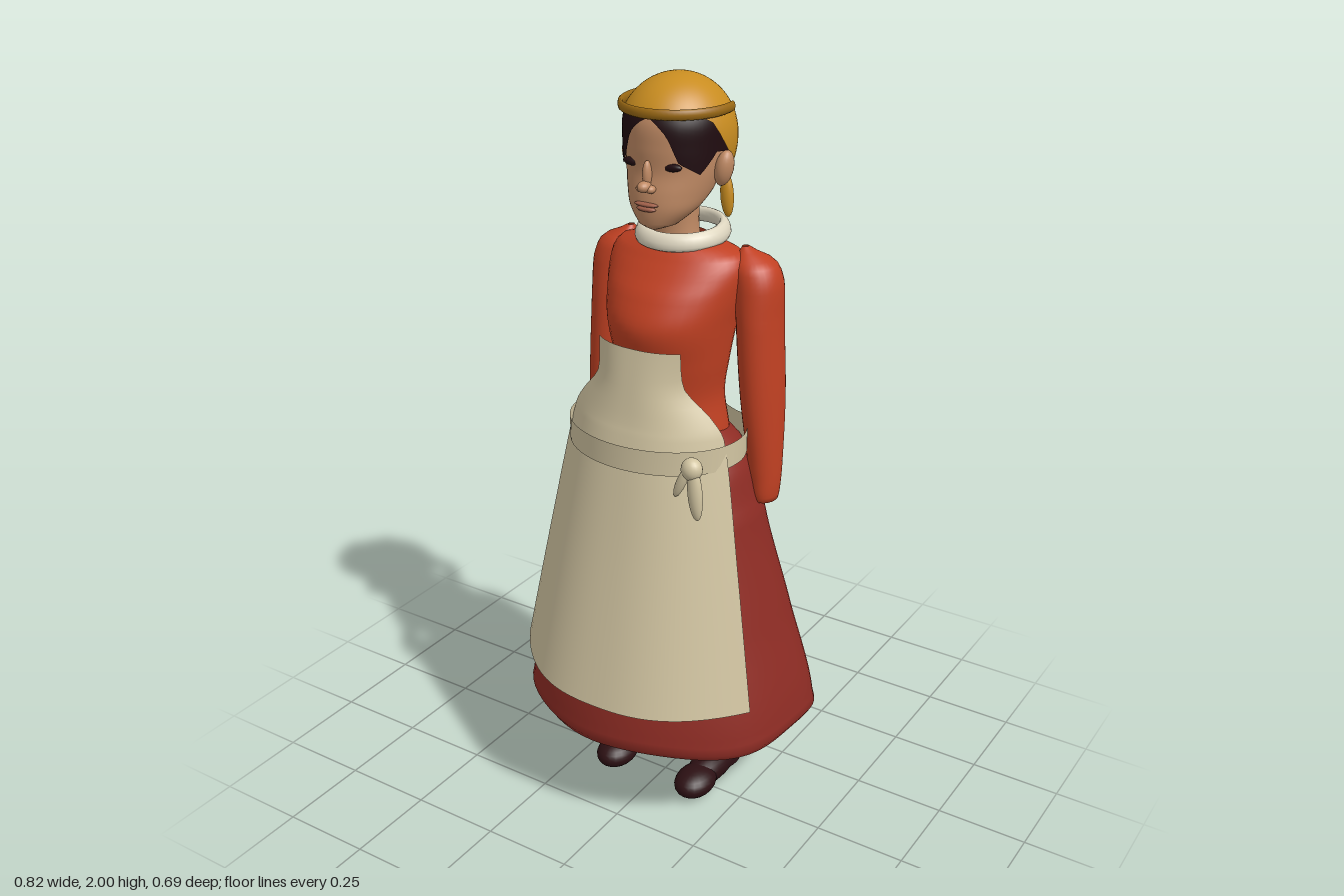
import * as THREE from 'three';
import { mergeVertices } from 'three/addons/utils/BufferGeometryUtils.js';

const paint = (name, color) => {
  const m = new THREE.MeshStandardMaterial({ color, side: THREE.DoubleSide });
  m.name = name;
  return m;
};

// Smooth interpolation of rows sorted by their first column.
function at(rows, y) {
  let i = 0;
  while (i < rows.length - 2 && y > rows[i + 1][0]) i++;
  const p = rows[Math.max(i - 1, 0)], a = rows[i], b = rows[i + 1], q = rows[Math.min(i + 2, rows.length - 1)];
  const t = THREE.MathUtils.clamp((y - a[0]) / (b[0] - a[0]), 0, 1);
  return a.map((v, k) => v + t * (b[k] - p[k] + t * (2 * p[k] - 5 * v + 4 * b[k] - q[k] + t * (3 * (v - b[k]) + q[k] - p[k]))) / 2);
}

function linear(points, x) {
  let i = 0;
  while (i < points.length - 2 && x > points[i + 1][0]) i++;
  const [a, b] = [points[i], points[i + 1]];
  return THREE.MathUtils.mapLinear(x, a[0], b[0], a[1], b[1]);
}

// Grid surface from a rule (u, v in 0..1) -> [x, y, z].
function surf(rule, nu, nv) {
  const pos = [], index = [];
  for (let j = 0; j <= nv; j++) for (let i = 0; i <= nu; i++) pos.push(...rule(i / nu, j / nv));
  for (let j = 0; j < nv; j++) for (let i = 0; i < nu; i++) {
    const a = j * (nu + 1) + i, d = a + nu + 1;
    index.push(a, a + 1, d + 1, a, d + 1, d);
  }
  let g = new THREE.BufferGeometry();
  g.setAttribute('position', new THREE.Float32BufferAttribute(pos, 3));
  g.setIndex(index);
  g = mergeVertices(g, 1e-5);
  g.computeVertexNormals();
  return g;
}

// Point on a body described by rows [y, cx, cz, halfWidth, zFront, zBack]; angle 0 is the front.
function onBody(rows, a, y, off = 0) {
  const [, cx, cz, rx, zf, zb] = at(rows, y);
  const c = Math.cos(a);
  return [cx + (Math.max(rx, 0.001) + off) * Math.sin(a), y, cz + ((c > 0 ? zf - cz : cz - zb) + off) * c];
}
const angle = u => (u * 2 - 1) * Math.PI;
const loft = (rows, nu = 32, nv = 32) => surf((u, v) =>
  onBody(rows, angle(u), THREE.MathUtils.lerp(rows[0][0], rows[rows.length - 1][0], v)), nu, nv);

export function createModel() {
  const model = new THREE.Group();
  const skin = paint('skin', 0xc08a64), hairDark = paint('dark hair', 0x200c10), ochre = paint('ochre cloth', 0xc88c20),
    ochreDark = paint('dark ochre band', 0x9c6a14), red = paint('orange red bodice', 0xc04022),
    skirtRed = paint('dark red skirt', 0x8e2c24), linen = paint('linen apron', 0xd2c5a2),
    cream = paint('cream collar', 0xded6c0), leather = paint('dark leather', 0x2c1013), lip = paint('lips', 0xa0604a);

  const add = (name, geometry, material) => {
    const m = new THREE.Mesh(geometry, material);
    m.name = name;
    model.add(m);
    return m;
  };
  const ball = (name, mat, p, s, tilt = 0) => {
    const m = add(name, new THREE.SphereGeometry(1, 20, 14), mat);
    m.position.set(...p);
    m.scale.set(...s);
    m.rotation.z = tilt;
    return m;
  };

  // Bodice and neck
  add('bodice', loft([
    [1.02, 0, -0.04, 0.165, 0.11, -0.16], [1.1, 0, -0.04, 0.155, 0.10, -0.155], [1.2, 0, -0.04, 0.142, 0.10, -0.14],
    [1.3, 0, -0.04, 0.155, 0.118, -0.148], [1.4, 0, -0.05, 0.17, 0.14, -0.162], [1.48, 0, -0.06, 0.185, 0.105, -0.165],
    [1.54, 0, -0.07, 0.19, 0.058, -0.162], [1.575, 0, -0.07, 0.165, 0.03, -0.15], [1.6, 0, -0.06, 0.08, 0.01, -0.13],
  ], 40, 44), red);
  add('neck', loft([[1.55, 0, -0.055, 0.07, 0.01, -0.12], [1.62, 0, -0.05, 0.057, 0, -0.105], [1.74, 0, -0.05, 0.058, 0.01, -0.11]], 24, 8), skin);

  // Collar ring
  add('collar', surf((u, v) => {
    const a = angle(u), b = -v * Math.PI * 2, c = Math.cos(a);
    const r = 0.014 * Math.cos(b) - 0.006 * Math.sin(b);
    return [(0.106 + r) * Math.sin(a), 1.608 - 0.008 * c + 0.022 * Math.sin(b), -0.08 + (0.106 + r) * c];
  }, 40, 12), cream);

  // Skirt with gentle folds
  const skirt = [
    [0.275, 0, -0.05, 0.4, 0.312, -0.338], [0.3, 0, -0.05, 0.41, 0.324, -0.348], [0.6, 0, -0.04, 0.338, 0.27, -0.285],
    [0.9, 0, -0.02, 0.265, 0.215, -0.222], [1.02, 0, -0.02, 0.23, 0.185, -0.19], [1.08, 0, -0.02, 0.195, 0.155, -0.168],
    [1.11, 0, -0.02, 0.15, 0.11, -0.14],
  ];
  add('skirt', surf((u, v) => {
    const a = angle(u), p = onBody(skirt, a, 0.275 + v * 0.835);
    const fold = 1 + 0.018 * (1 - v) * (Math.sin(7 * a + 1) - Math.cos(4 * a)) * Math.abs(Math.sin(a / 2));
    return [p[0] * fold, p[1] + 0.006 * (1 - v) * Math.sin(5 * a), p[2] * fold];
  }, 72, 40), skirtRed);

  // Apron with bib: rows [y, halfWidth, zMiddle, zEdge]
  const apron = [
    [0.42, 0.36, 0.35, 0.152], [0.8, 0.292, 0.268, 0.115], [1.1, 0.236, 0.208, 0.085], [1.17, 0.21, 0.19, 0.085],
    [1.22, 0.168, 0.18, 0.098], [1.27, 0.128, 0.171, 0.116], [1.36, 0.12, 0.155, 0.12],
  ];
  add('apron', surf((u, v) => {
    const s = u * 2 - 1, [y, w, zm, ze] = at(apron, 0.42 + v * 0.94);
    return [s * w, y, zm + (ze - zm) * Math.abs(s) ** 2.5];
  }, 28, 40), linen);

  // Apron belt with a tied knot
  const beltRow = [[0, 0, 0.04, 0.241, 0.23, -0.17], [2, 0, 0.04, 0.241, 0.23, -0.17]];
  add('belt', surf((u, v) => {
    const a = angle(u), p = onBody(beltRow, a, 1.065 + v * 0.065);
    p[1] += 0.012 * Math.cos(6 * a) * Math.max(0, -Math.cos(a));
    return p;
  }, 56, 2), linen);
  ball('beltKnot', linen, [0.195, 1.095, 0.185], [0.028, 0.03, 0.026]);
  ball('beltTailLong', linen, [0.208, 1.035, 0.19], [0.02, 0.075, 0.016], 0.1);
  ball('beltTailShort', linen, [0.172, 1.06, 0.195], [0.013, 0.05, 0.012], -0.4);

  for (const side of [-1, 1]) {
    const tag = side > 0 ? 'left' : 'right';
    const mirror = rows => rows.map(([y, x, ...rest]) => [y, x * side, ...rest]);
    // Sleeves
    add(tag + 'Sleeve', loft(mirror([
      [0.905, 0.256, -0.088, 0.008, -0.08, -0.1], [0.92, 0.256, -0.088, 0.03, -0.046, -0.125], [1.0, 0.25, -0.09, 0.042, -0.038, -0.138],
      [1.2, 0.233, -0.1, 0.054, -0.024, -0.163], [1.4, 0.219, -0.1, 0.057, -0.022, -0.168], [1.5, 0.211, -0.1, 0.06, -0.03, -0.17],
      [1.55, 0.196, -0.1, 0.052, -0.045, -0.158], [1.585, 0.17, -0.1, 0.008, -0.09, -0.11],
    ]), 28, 48), red);
    // Legs and boots
    add(tag + 'Leg', loft(mirror([[0.12, 0.133, -0.095, 0.048, -0.045, -0.145], [0.3, 0.135, -0.095, 0.053, -0.035, -0.155],
      [0.8, 0.1, -0.06, 0.075, 0.02, -0.14]]), 20, 10), leather);
    add(tag + 'BootShaft', loft(mirror([[0.03, 0.13, -0.1, 0.05, -0.03, -0.163], [0.1, 0.13, -0.09, 0.053, -0.022, -0.155],
      [0.182, 0.127, -0.088, 0.068, -0.018, -0.156], [0.19, 0.127, -0.088, 0.045, -0.04, -0.14]]), 24, 12), leather);
    ball(tag + 'Foot', leather, [side * 0.13, 0.045, -0.045], [0.05, 0.045, 0.122]);
    ball(tag + 'Toe', leather, [side * 0.133, 0.043, 0.05], [0.055, 0.04, 0.072]);
    // Ears, eyes and brows
    ball(tag + 'Ear', skin, [side * 0.133, 1.785, -0.052], [0.022, 0.045, 0.027], -side * 0.2);
    ball(tag + 'Eye', hairDark, [side * 0.056, 1.799, 0.06], [0.027, 0.01, 0.011], side * 0.08);
    ball(tag + 'Nostril', skin, [side * 0.014, 1.747, 0.088], [0.012, 0.01, 0.014]);
    // Cap ribbon ends
    ball(tag + 'RibbonLoop', ochre, [side * 0.036, 1.735, -0.183], [0.036, 0.02, 0.02], -side * 0.5);
    ball(tag + 'RibbonTail', ochre, [side * 0.06, 1.675, -0.192], [0.018, 0.058, 0.015], side * 0.08);
  }
  ball('ribbonKnot', ochre, [0, 1.745, -0.182], [0.024, 0.022, 0.024]);

  // Head
  const head = [
    [1.638, 0, 0.05, 0.006, 0.058, 0.042], [1.65, 0, 0.03, 0.046, 0.08, 0], [1.69, 0, 0, 0.086, 0.088, -0.07],
    [1.73, 0, -0.03, 0.106, 0.086, -0.12], [1.78, 0, -0.045, 0.119, 0.077, -0.15], [1.84, 0, -0.05, 0.123, 0.08, -0.17],
    [1.9, 0, -0.05, 0.122, 0.076, -0.175], [1.95, 0, -0.05, 0.098, 0.045, -0.15], [1.985, 0, -0.05, 0.03, -0.02, -0.08],
  ];
  add('head', loft(head, 40, 48), skin);
  ball('noseTip', skin, [0, 1.753, 0.095], [0.016, 0.014, 0.021]);
  ball('noseBridge', skin, [0, 1.78, 0.082], [0.011, 0.034, 0.014]);
  ball('upperLip', lip, [0, 1.708, 0.086], [0.034, 0.006, 0.011]);
  ball('lowerLip', lip, [0, 1.697, 0.086], [0.027, 0.007, 0.011]);

  // Hair under the cap, parted over the forehead
  const hairline = [[0, 1.915], [0.2, 1.9], [0.4, 1.875], [0.62, 1.81], [1.05, 1.78], [1.4, 1.83], [1.8, 1.82], [2, 1.75], [3.15, 1.735]];
  add('hair', surf((u, v) => {
    const a = angle(u), low = linear(hairline, Math.abs(a));
    return onBody(head, a, THREE.MathUtils.lerp(low, 1.935, v), 0.007);
  }, 72, 12), hairDark);

  // Cap dome and its front band
  const capPoint = (a, y, off = 0) => {
    const t = (y - 1.85) / (y > 1.85 ? 0.15 : 0.18), k = Math.sqrt(Math.max(0, 1 - t * t));
    return [(0.143 * k + off) * Math.sin(a), y, -0.055 + (0.155 * k + off) * Math.cos(a)];
  };
  const rim = [[0, 1.925], [1.2, 1.91], [1.5, 1.84], [1.8, 1.795], [3.15, 1.778]];
  add('cap', surf((u, v) => {
    const a = angle(u), low = linear(rim, Math.abs(a));
    return capPoint(a, low + (2 - low) * Math.sin(v * Math.PI / 2));
  }, 56, 24), ochre);
  add('capBand', surf((u, v) => {
    const a = (u * 2 - 1) * 1.8, b = -v * Math.PI * 2, c = capPoint(a, 1.925, 0.012 + 0.007 * Math.cos(b));
    return [c[0], 1.927 + 0.013 * Math.sin(b), c[2]];
  }, 40, 8), ochreDark);

  return model;
}
